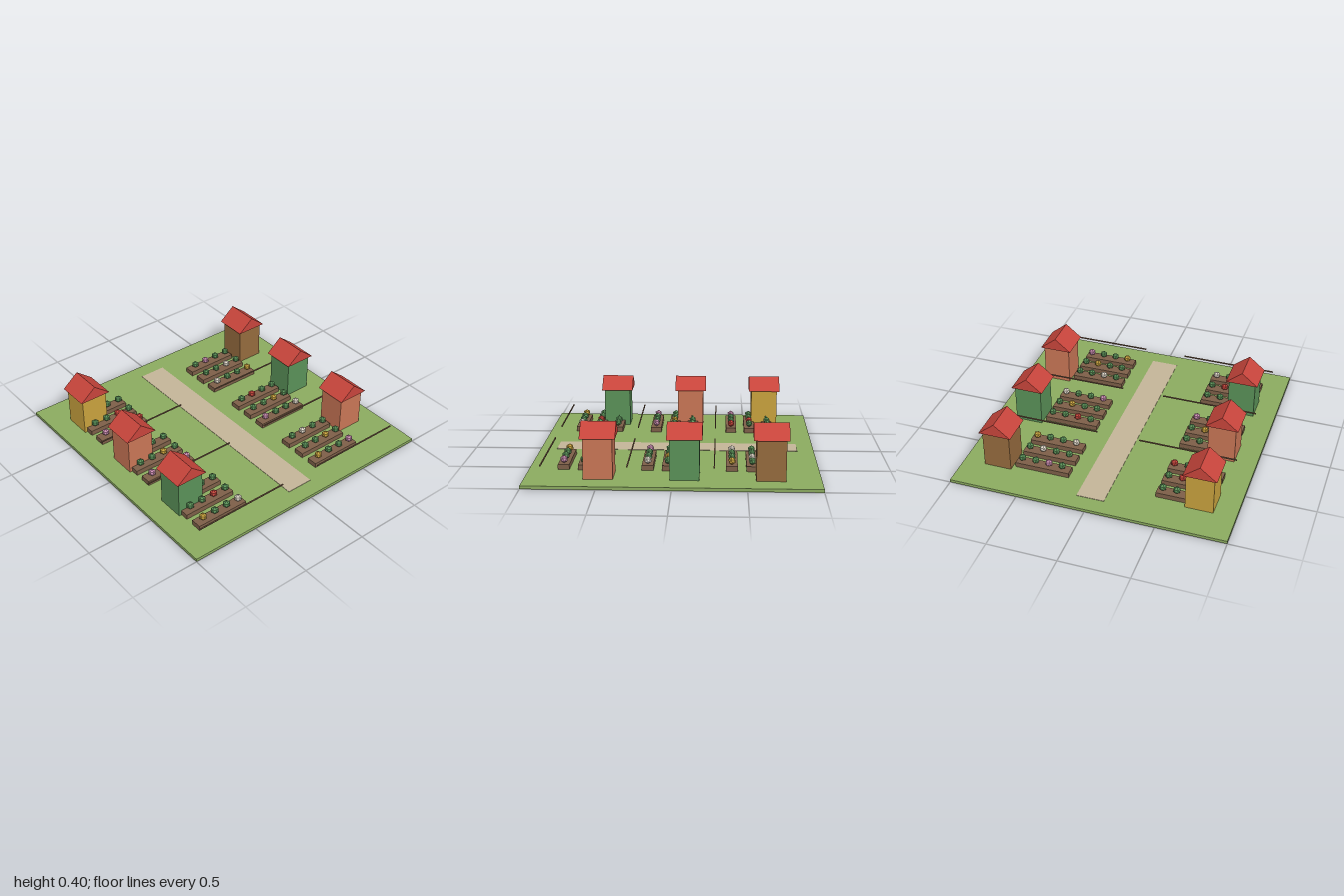
import * as THREE from 'three';

const mat = (name, color) => {
  const m = new THREE.MeshStandardMaterial({ color });
  m.name = name;
  return m;
};

export function createModel() {
  const M = {
    grass: mat('grass', 0x8bab60),
    path: mat('path', 0xc4b598),
    soil: mat('soil', 0x7d5f48),
    roof: mat('red', 0xc8453c),
    terracotta: mat('terracotta', 0xc97656),
    green: mat('green', 0x5a9158),
    yellow: mat('yellow', 0xc9a23e),
    brown: mat('brown', 0x956b3e),
    pink: mat('pink', 0xc98bb0),
    white: mat('white', 0xe0d8ca),
  };
  const model = new THREE.Group();
  model.name = 'allotmentGardens';

  const add = (parent, name, geometry, material, x, y, z) => {
    const mesh = new THREE.Mesh(geometry, material);
    mesh.name = name;
    mesh.position.set(x, y, z);
    parent.add(mesh);
    return mesh;
  };
  // Box spanning y0..y1
  const box = (parent, name, material, w, d, y0, y1, x, z) =>
    add(parent, name, new THREE.BoxGeometry(w, y1 - y0, d), material, x, (y0 + y1) / 2, z);

  box(model, 'lawn', M.grass, 2, 2, 0, 0.022, 0, 0);
  box(model, 'path', M.path, 0.2, 1.76, 0.015, 0.025, 0, 0);

  // Gable roof prism with its ridge along z
  const gable = new THREE.Shape([
    new THREE.Vector2(-0.12, 0), new THREE.Vector2(0.12, 0), new THREE.Vector2(0, 0.097),
  ]);
  const roofGeo = new THREE.ExtrudeGeometry(gable, { depth: 0.24, bevelEnabled: false });
  roofGeo.translate(0, 0, -0.12);

  // Faceted plant head with a vertex at the top
  const plantGeo = new THREE.IcosahedronGeometry(0.028, 0);
  plantGeo.rotateX(-Math.atan2((1 + Math.sqrt(5)) / 2, 1));
  plantGeo.computeVertexNormals();

  const crops = { g: M.green, r: M.roof, y: M.yellow, p: M.pink, w: M.white };

  // Each plot: side, centre z, shed colour, and four crops for each of three beds
  const plots = [
    [-1, -0.54, M.yellow, ['gggg', 'ggrg', 'pggr']],
    [-1, 0.04, M.terracotta, ['gggg', 'ggyg', 'pggp']],
    [-1, 0.62, M.green, ['gggg', 'ggrg', 'yggw']],
    [1, -0.54, M.brown, ['gpgg', 'ggwg', 'wggy']],
    [1, 0.04, M.green, ['grgg', 'ggyg', 'pggw']],
    [1, 0.62, M.terracotta, ['gwgg', 'ggyg', 'yggp']],
  ];

  for (const [side, z, wall, beds] of plots) {
    const plot = new THREE.Group();
    plot.name = side < 0 ? 'rightPlot' : 'leftPlot';
    model.add(plot);

    // Shed
    box(plot, 'shedWalls', wall, 0.2, 0.2, 0.01, 0.305, side * 0.74, z - 0.12);
    add(plot, 'shedRoof', roofGeo, M.roof, side * 0.74, 0.305, z - 0.12);

    // Beds and their plants
    const bedX = side < 0 ? -0.62 : 0.42;
    beds.forEach((row, r) => {
      const bedZ = z + (r - 1) * 0.14;
      box(plot, 'bed', M.soil, 0.4, 0.08, 0.01, 0.058, bedX, bedZ);
      [...row].forEach((crop, c) =>
        add(plot, 'plant', plantGeo, crops[crop], bedX - 0.14 + c * 0.1, 0.087, bedZ));
    });

    // Boundary rail
    box(plot, 'fenceRail', M.soil, 0.72, 0.008, 0.121, 0.129, side * 0.52, z + 0.26);
  }
  return model;
}
